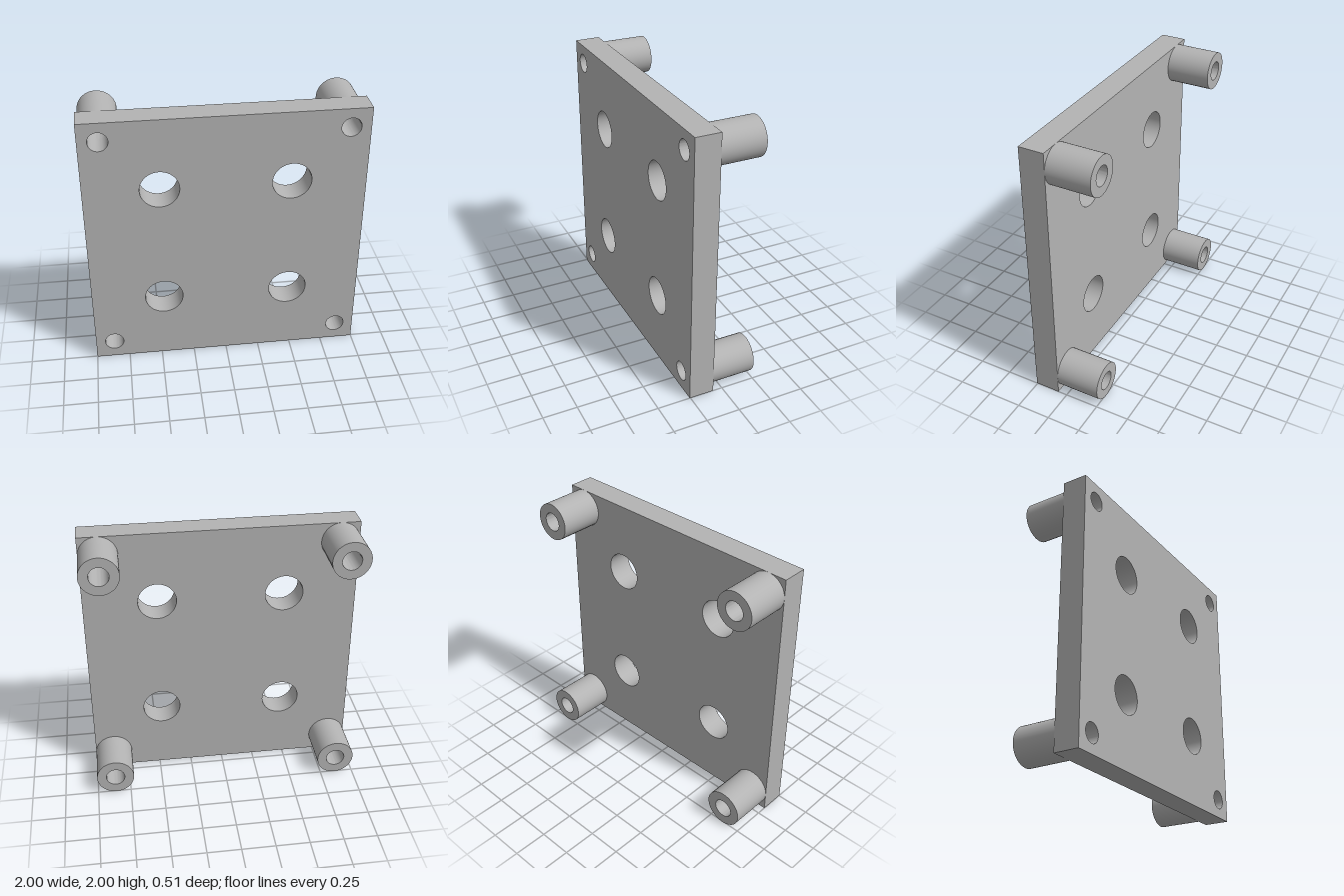
import * as THREE from 'three';
import { toCreasedNormals } from 'three/addons/utils/BufferGeometryUtils.js';

const BACK = -0.255, PLATE_BACK = 0.07, FRONT = 0.255;
const CORNER = 0.86, VENT = 0.465;
const BORE_R = 0.07, POST_R = 0.14, VENT_R = 0.14;

// Extrude a flat shape from z0 to z1, keeping round walls smooth and rims sharp
function extrude(shape, z0, z1) {
  const geometry = new THREE.ExtrudeGeometry(shape, { depth: z1 - z0, bevelEnabled: false, curveSegments: 32 });
  geometry.translate(0, 0, z0);
  return toCreasedNormals(geometry, 0.6);
}

function addHole(shape, x, y, r) {
  shape.holes.push(new THREE.Path().absarc(x, y, r, 0, Math.PI * 2, true));
}

export function createModel() {
  const model = new THREE.Group();
  model.name = 'mountingPlate';
  const grey = new THREE.MeshStandardMaterial({ color: 0xb3b3b3 });
  grey.name = 'grey';

  // Square plate with four large holes and four corner screw holes
  const outline = new THREE.Shape([
    new THREE.Vector2(-1, 0), new THREE.Vector2(1, 0),
    new THREE.Vector2(1, 2), new THREE.Vector2(-1, 2),
  ]);

  // Hollow standoff section
  const ring = new THREE.Shape().absarc(0, 0, POST_R, 0, Math.PI * 2, false);
  addHole(ring, 0, 0, BORE_R);
  const postGeometry = extrude(ring, BACK, PLATE_BACK);

  for (const sx of [-1, 1]) {
    for (const sy of [-1, 1]) {
      addHole(outline, sx * VENT, 1 + sy * VENT, VENT_R);
      addHole(outline, sx * CORNER, 1 + sy * CORNER, BORE_R);

      const post = new THREE.Mesh(postGeometry, grey);
      post.name = (sy > 0 ? 'upper' : 'lower') + (sx > 0 ? 'Left' : 'Right') + 'Standoff';
      post.position.set(sx * CORNER, 1 + sy * CORNER, 0);
      model.add(post);
    }
  }

  const plate = new THREE.Mesh(extrude(outline, PLATE_BACK, FRONT), grey);
  plate.name = 'plate';
  model.add(plate);
  return model;
}
